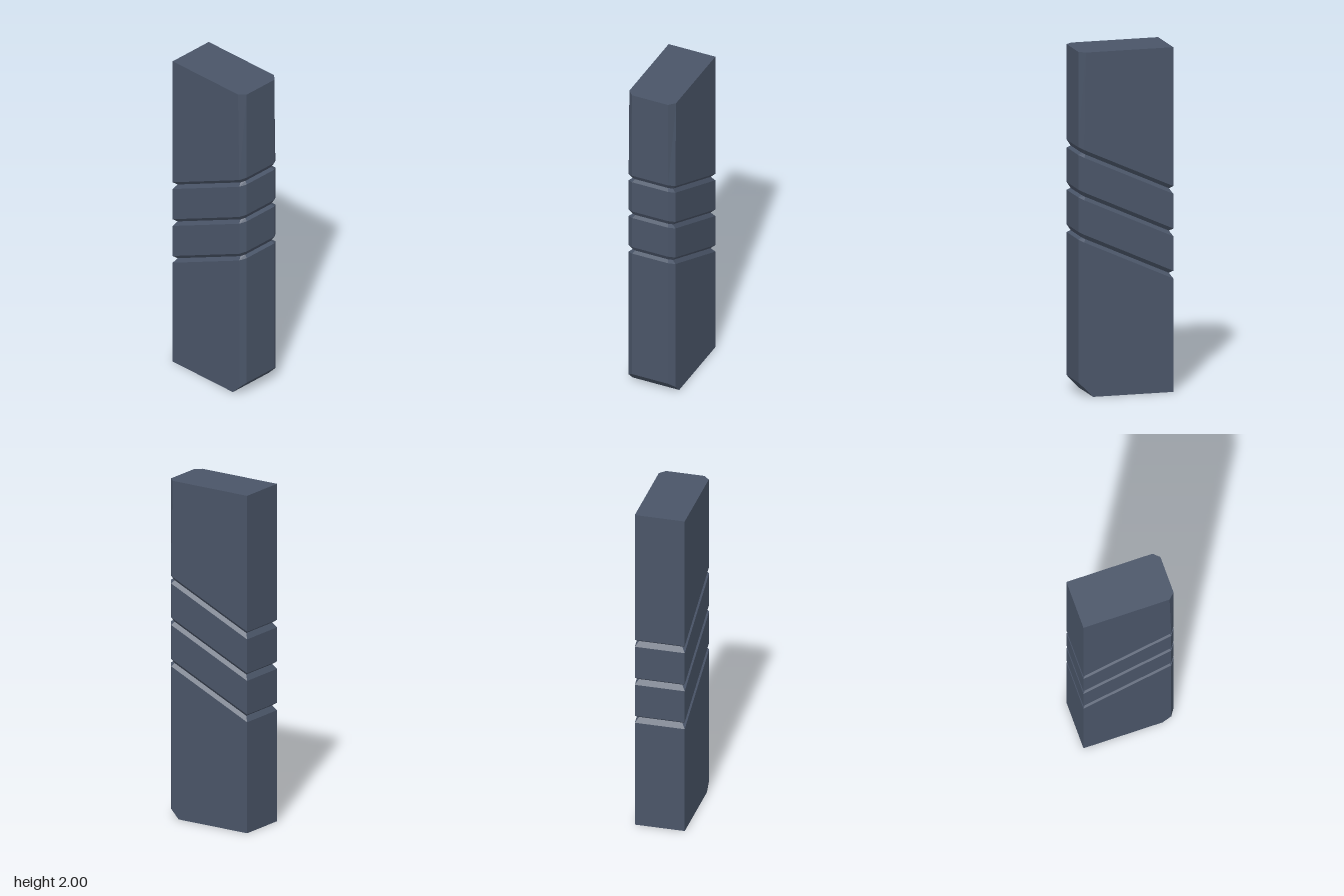
import * as THREE from 'three';

const HALF_X = 0.277, HALF_Z = 0.147, CORNER_Z = 0.113;

// Horizontal outline with two bevelled corners on the +x side; y follows a rule of x.
function ring(yAt, inset = 0, bevelX = 0.251) {
  const front = [
    [-HALF_X + inset, HALF_Z - inset],
    [0.2, HALF_Z - inset],
    [bevelX - inset * 0.5, HALF_Z - inset],
    [HALF_X - inset, CORNER_Z - inset * 0.5],
  ];
  const back = front.map(([x, z]) => [x, -z]).reverse();
  return [...front, ...back].map(([x, z]) => [x, yAt(x), z]);
}

// Joins rings from bottom to top and closes both ends.
function loft(rings) {
  const n = rings[0].length, pos = [];
  const quad = (a, b, c, d) => pos.push(...a, ...b, ...c, ...a, ...c, ...d);
  for (let r = 0; r < rings.length - 1; r++) {
    const lo = rings[r], up = rings[r + 1];
    for (let i = 0; i < n; i++) {
      const j = (i + 1) % n;
      quad(lo[i], lo[j], up[j], up[i]);
    }
  }
  const bottom = rings[0], top = rings[rings.length - 1];
  for (let i = 0; i < n / 2 - 1; i++) {
    const k = n - 1 - i;
    quad(top[i], top[i + 1], top[k - 1], top[k]);
    quad(bottom[k], bottom[k - 1], bottom[i + 1], bottom[i]);
  }
  const geo = new THREE.BufferGeometry();
  geo.setAttribute('position', new THREE.Float32BufferAttribute(pos, 3));
  geo.computeVertexNormals();
  return geo;
}

export function createModel() {
  const slate = new THREE.MeshStandardMaterial({ color: 0x4a5568 });
  slate.name = 'slate';

  // Foot with its cut-off corner
  const rings = [ring((x) => Math.max(0, (x - 0.2) * 1.04))];

  // Three slanted V-grooves running all the way round
  const slope = 0.455;
  for (const mid of [0.805, 1.05, 1.296]) {
    const slanted = (dy) => (x) => mid + dy + slope * x;
    rings.push(ring(slanted(-0.021)), ring(slanted(0), 0.02), ring(slanted(0.024)));
  }

  // Flat top, where the bevel is slightly wider
  rings.push(ring(() => 2, 0, 0.241));

  const body = new THREE.Mesh(loft(rings), slate);
  body.name = 'groovedBlock';

  const group = new THREE.Group();
  group.name = 'groovedPanel';
  group.add(body);
  return group;
}
